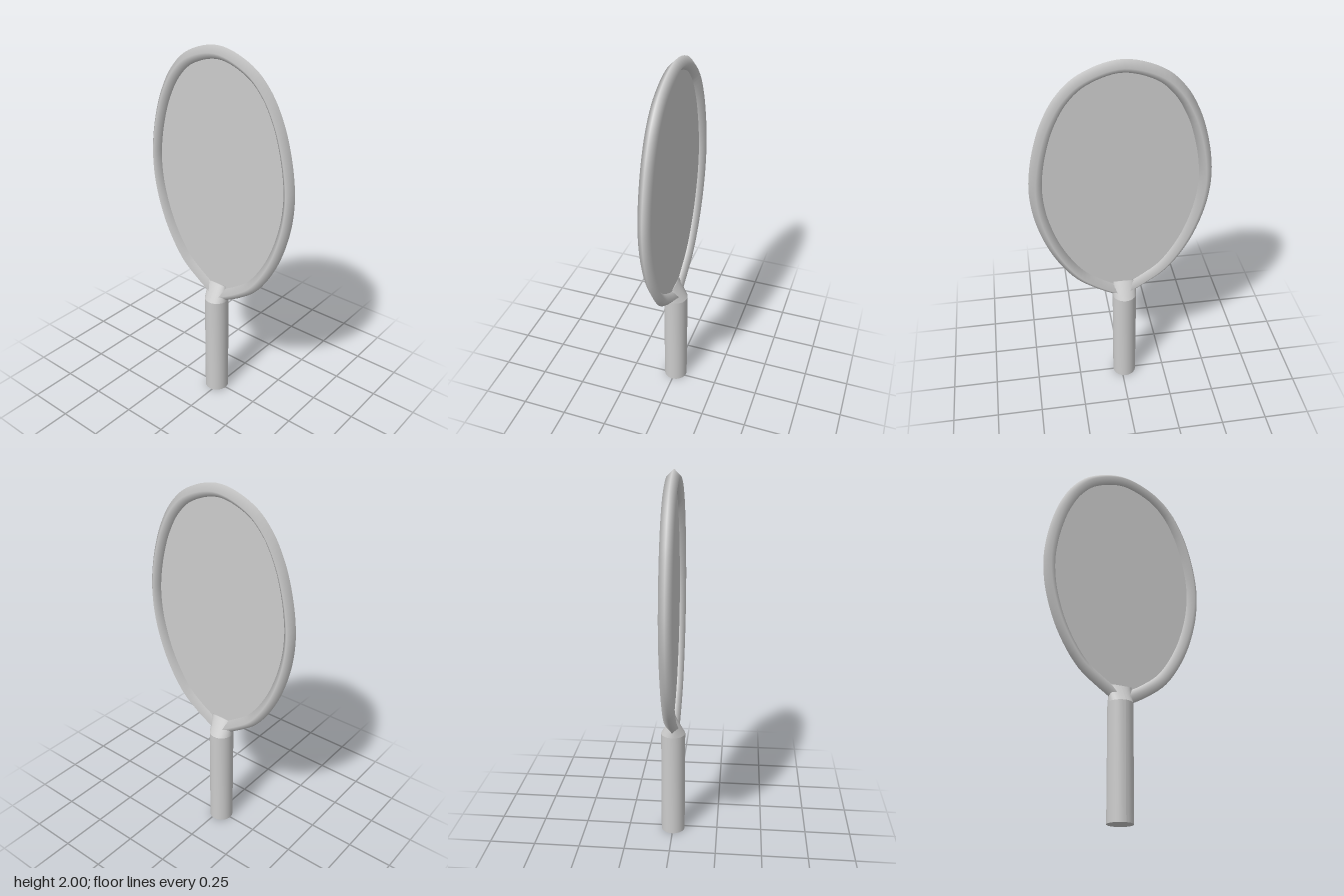
import * as THREE from 'three';

const material = new THREE.MeshStandardMaterial({ color: 0xcccccc });
const thinMaterial = new THREE.MeshStandardMaterial({ color: 0xcccccc, side: THREE.DoubleSide });

function addMesh(group, name, geometry, mat = material) {
  const mesh = new THREE.Mesh(geometry, mat);
  mesh.name = name;
  group.add(mesh);
  return mesh;
}

// Centre line of the hoop, from the throat up the right edge, mirrored down the other
function hoopCurve() {
  const half = [[0.035, 0.64], [0.13, 0.695], [0.23, 0.775], [0.34, 0.945], [0.41, 1.15],
    [0.43, 1.32], [0.418, 1.46], [0.386, 1.6], [0.35, 1.7], [0.285, 1.815], [0.187, 1.907]];
  const points = [
    [-0.017, 0.613], ...half, [0, 1.967],
    ...half.slice(1).reverse().map(([x, y]) => [-x, y + 0.005]),
    [-0.07, 0.66], [-0.019, 0.622],
  ].map(([x, y]) => new THREE.Vector3(x, y, 0));
  return new THREE.CatmullRomCurve3(points, false);
}

// Round grip whose top end is squeezed flat into a wedge
function gripGeometry(radius, shoulder, top) {
  const geometry = new THREE.LatheGeometry([
    [0, 0], [radius, 0], [radius, 0], [radius, shoulder], [radius, shoulder], [radius * 0.94, top], [0, top],
  ].map(([x, y]) => new THREE.Vector2(x, y)), 32);
  const pos = geometry.attributes.position;
  for (let i = 0; i < pos.count; i++) {
    if (pos.getY(i) > shoulder + 0.001) pos.setZ(i, pos.getZ(i) * 0.1);
  }
  geometry.computeVertexNormals();
  return geometry;
}

export function createModel() {
  const racket = new THREE.Group();
  racket.name = 'racket';

  // Diamond-section hoop
  const curve = hoopCurve();
  addMesh(racket, 'hoop', new THREE.TubeGeometry(curve, 120, 0.033, 4, false));

  // Flat string bed filling the hoop
  const outline = curve.getPoints(120).map((p) => new THREE.Vector2(p.x, p.y));
  addMesh(racket, 'stringBed', new THREE.ShapeGeometry(new THREE.Shape(outline)), thinMaterial);

  // Handle
  const handle = addMesh(racket, 'handle', gripGeometry(0.066, 0.6, 0.695));
  handle.position.x = -0.017;

  return racket;
}
